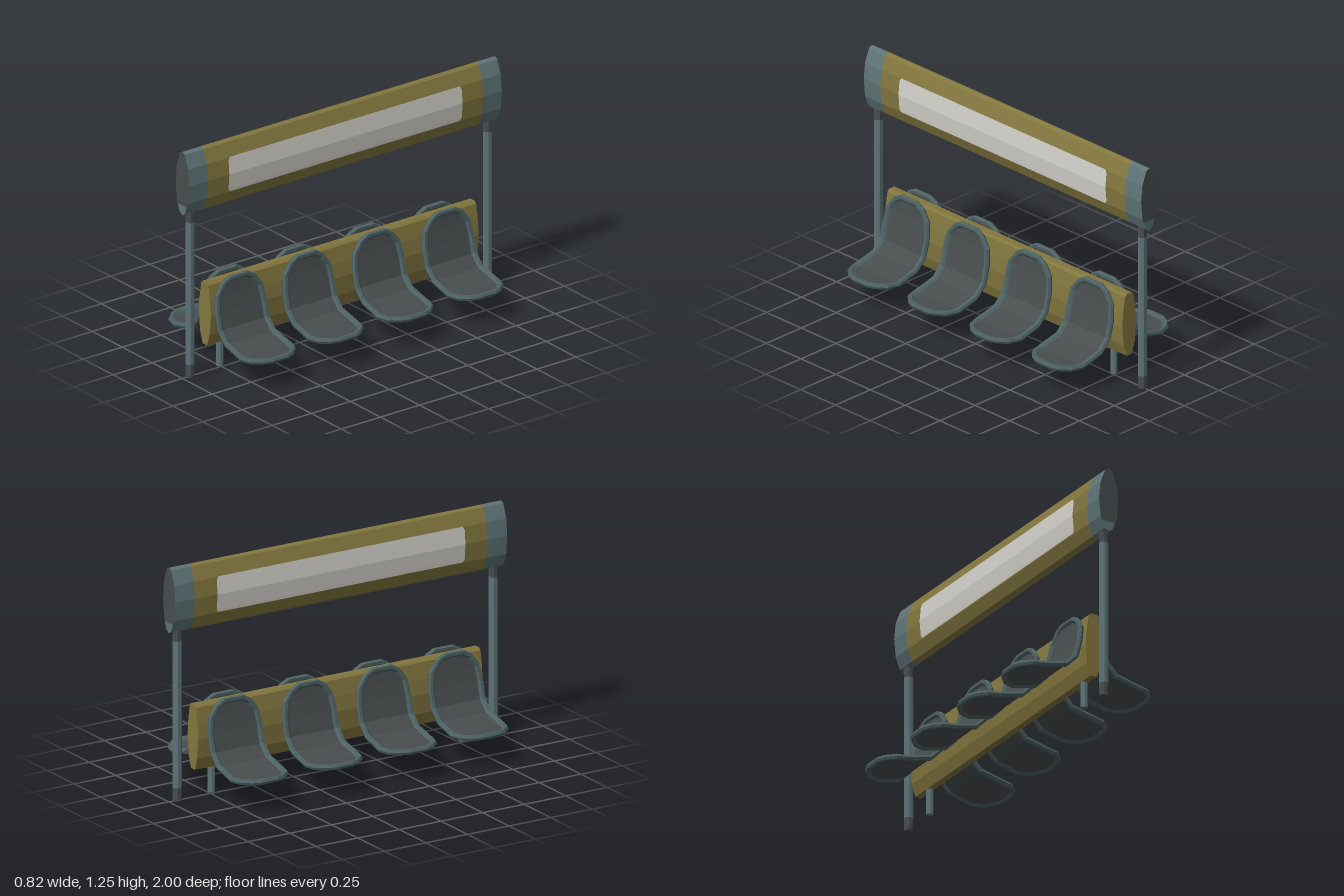
import * as THREE from 'three';

const mat = (name, color) => {
  const m = new THREE.MeshStandardMaterial({ color });
  m.name = name;
  return m;
};

// flat-shaded geometry from a list of quads, each four [x, y, z] corners
function quadGeometry(quads) {
  const pos = [];
  for (const [a, b, c, d] of quads) pos.push(...a, ...b, ...c, ...a, ...c, ...d);
  const g = new THREE.BufferGeometry();
  g.setAttribute('position', new THREE.Float32BufferAttribute(pos, 3));
  g.computeVertexNormals();
  return g;
}

// left-right symmetric profile [halfWidth, y], bottom to top, extruded along z
function extrudeProfile(profile, z0, z1) {
  const left = profile.filter(p => p[0] > 0).reverse().map(([x, y]) => [-x, y]);
  const shape = new THREE.Shape([...profile, ...left].map(([x, y]) => new THREE.Vector2(x, y)));
  const g = new THREE.ExtrudeGeometry(shape, { depth: z1 - z0, bevelEnabled: false });
  return g.translate(0, 0, z0);
}

// seat centreline stations from the top of the back to the front lip: [x, y, halfWidth]
const SEAT = [
  [0.047, 0.517, 0.055], [0.048, 0.49, 0.105], [0.054, 0.43, 0.15], [0.07, 0.34, 0.163],
  [0.093, 0.25, 0.163], [0.15, 0.192, 0.163], [0.28, 0.16, 0.165], [0.345, 0.161, 0.145],
  [0.39, 0.163, 0.095], [0.408, 0.164, 0.05],
];

function seatGeometries() {
  const n = SEAT.length;
  const along = [0];
  for (let i = 1; i < n; i++) {
    along.push(along[i - 1] + Math.hypot(SEAT[i][0] - SEAT[i - 1][0], SEAT[i][1] - SEAT[i - 1][1]));
  }
  const normals = SEAT.map((_, i) => {
    const a = SEAT[Math.max(i - 1, 0)], b = SEAT[Math.min(i + 1, n - 1)];
    const tx = b[0] - a[0], ty = b[1] - a[1], l = Math.hypot(tx, ty);
    return [-ty / l, tx / l];
  });
  // bends a flat point (u along, v across, h above) onto the seat curve
  const bend = ([u, v], h) => {
    let i = 0;
    while (i < n - 2 && u > along[i + 1]) i++;
    const t = (u - along[i]) / (along[i + 1] - along[i]);
    const mix = (a, b) => a + (b - a) * t;
    return [
      mix(SEAT[i][0], SEAT[i + 1][0]) + h * mix(normals[i][0], normals[i + 1][0]),
      mix(SEAT[i][1], SEAT[i + 1][1]) + h * mix(normals[i][1], normals[i + 1][1]),
      v,
    ];
  };
  // flat outline, then the same outline moved inward by d
  const outline = SEAT.map((s, i) => [along[i], s[2]]);
  outline.push(...outline.map(([u, v]) => [u, -v]).reverse());
  const m = outline.length;
  const inset = d => outline.map(([u, v], i) => {
    const a = outline[(i + m - 1) % m], b = outline[(i + 1) % m];
    const tu = b[0] - a[0], tv = b[1] - a[1], l = Math.hypot(tu, tv);
    return [u + d * tv / l, v - d * tu / l];
  });

  // rim: a six-sided section swept around the outline
  const section = [[0, 0], [0.006, 0.013], [0.022, 0.013], [0.034, 0.003], [0.022, -0.013], [0.006, -0.013]];
  const rings = section.map(([d, h]) => inset(d).map(p => bend(p, h)));
  const rim = [];
  for (let j = 0; j < section.length; j++) {
    const r = rings[j], s = rings[(j + 1) % section.length];
    for (let i = 0; i < m; i++) {
      const k = (i + 1) % m;
      rim.push([r[i], r[k], s[k], s[i]]);
    }
  }

  // shell: thin upper and lower skins inside the rim
  const shell = [];
  const inner = inset(0.028);
  for (let i = 0; i < n - 1; i++) {
    const corners = [inner[i], inner[i + 1], inner[m - 2 - i], inner[m - 1 - i]];
    shell.push(corners.map(p => bend(p, 0.003)));
    shell.push(corners.map(p => bend(p, -0.004)).reverse());
  }
  return { rim: quadGeometry(rim), shell: quadGeometry(shell) };
}

export function createModel() {
  const ochre = mat('ochre panel', 0x83773f);
  const slate = mat('slate metal', 0x5f7478);
  const rimGrey = mat('seat rim', 0x4e6264);
  const charcoal = mat('charcoal', 0x484d4e);
  const white = mat('white panel', 0xd2d0c9);
  white.side = THREE.DoubleSide;

  const model = new THREE.Group();
  const add = (name, geometry, material, parent = model) => {
    const mesh = new THREE.Mesh(geometry, material);
    mesh.name = name;
    parent.add(mesh);
    return mesh;
  };
  const post = (name, r, y0, y1, z, material) => {
    const g = new THREE.CylinderGeometry(r, r, y1 - y0, 8).toNonIndexed();
    g.rotateY(Math.PI / 8);
    g.computeVertexNormals();
    add(name, g, material).position.set(0, (y0 + y1) / 2, z);
  };

  // overhead sign with end sections
  const signProfile = [
    [0, 0.902], [0.022, 0.917], [0.048, 0.98], [0.057, 1.08], [0.048, 1.17], [0.02, 1.243], [0, 1.253],
  ];
  add('signBody', extrudeProfile(signProfile, -0.88, 0.88), ochre);
  for (const s of [-1, 1]) {
    add('signEnd', extrudeProfile(signProfile, s > 0 ? 0.88 : -0.998, s > 0 ? 0.998 : -0.88), [charcoal, slate]);
    const lower = [[0, 0.902], [0.022, 0.917], [0.038, 0.956]];
    add('signEndLowerPlate', extrudeProfile(lower, s * 0.998 - 0.002, s * 0.998 + 0.002), slate);
  }

  // white display panel following the curve of both sign faces: [x, y, halfLength]
  const rows = [
    [0.0515, 0.983, 0.735], [0.0535, 1.0, 0.745], [0.0605, 1.08, 0.745], [0.0535, 1.155, 0.745], [0.0515, 1.174, 0.735],
  ];
  for (const s of [-1, 1]) {
    const quads = [];
    for (let i = 0; i < rows.length - 1; i++) {
      const [a, b] = [rows[i], rows[i + 1]];
      const q = [[s * a[0], a[1], a[2]], [s * a[0], a[1], -a[2]], [s * b[0], b[1], -b[2]], [s * b[0], b[1], b[2]]];
      quads.push(s > 0 ? q : q.reverse());
    }
    add('displayPanel', quadGeometry(quads), white);
  }

  // tall posts with dark collars
  for (const z of [-0.95, 0.95]) {
    post('post', 0.024, 0.07, 0.855, z, slate);
    post('postFoot', 0.024, 0, 0.07, z, charcoal);
    post('postCollar', 0.024, 0.855, 0.915, z, charcoal);
  }

  // bench beam and its short legs
  const beamProfile = [
    [0.018, 0.15], [0.04, 0.215], [0.05, 0.32], [0.044, 0.4], [0.03, 0.485], [0.018, 0.497],
  ];
  add('benchBeam', extrudeProfile(beamProfile, -0.855, 0.855), ochre);
  post('benchLeg', 0.019, 0.01, 0.17, 0.76, slate);
  post('benchLeg', 0.019, 0.01, 0.17, -0.745, slate);

  // four seats on each side
  const { rim, shell } = seatGeometries();
  for (const side of [1, -1]) {
    for (const z of [-0.645, -0.198, 0.248, 0.68]) {
      const seat = new THREE.Group();
      seat.name = side > 0 ? 'leftSeat' : 'rightSeat';
      add('seatRim', rim, rimGrey, seat);
      add('seatShell', shell, charcoal, seat);
      seat.position.z = z;
      if (side < 0) seat.rotation.y = Math.PI;
      model.add(seat);
    }
  }
  return model;
}
